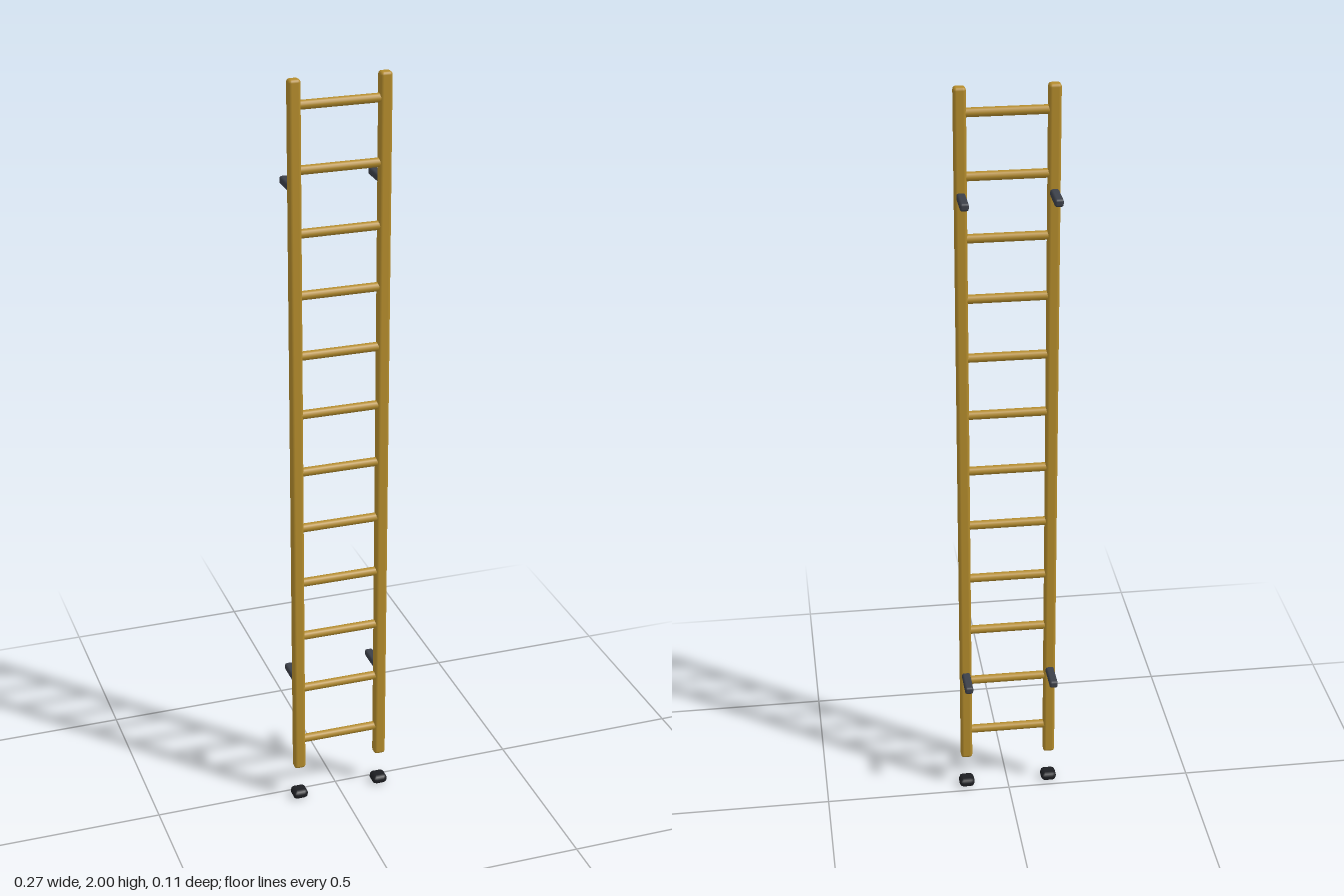
import * as THREE from 'three';
import { RoundedBoxGeometry } from 'three/addons/geometries/RoundedBoxGeometry.js';

const RAIL_X = 0.114, RAIL_Z = 0.033;

export function createModel() {
  const ladder = new THREE.Group();
  ladder.name = 'ladder';

  const yellow = new THREE.MeshStandardMaterial({ color: 0xb48c2c });
  const steel = new THREE.MeshStandardMaterial({ color: 0x3c4049 });
  const rubber = new THREE.MeshStandardMaterial({ color: 0x1d1e22 });

  const add = (name, geometry, material, x, y, z) => {
    const mesh = new THREE.Mesh(geometry, material);
    mesh.name = name;
    mesh.position.set(x, y, z);
    ladder.add(mesh);
    return mesh;
  };

  // Shared shapes with softened edges
  const railGeo = new RoundedBoxGeometry(0.031, 1.9, 0.028, 2, 0.008);
  const footGeo = new RoundedBoxGeometry(0.042, 0.025, 0.042, 1, 0.011);
  const bracketGeo = new RoundedBoxGeometry(0.022, 0.02, 0.088, 2, 0.006);

  // Side rails, wall standoffs and separate feet, mirrored
  for (const side of [1, -1]) {
    const label = side > 0 ? 'left' : 'right';
    const x = side * RAIL_X;
    add(label + 'Rail', railGeo, yellow, x, 1.05, RAIL_Z);
    add(label + 'Foot', footGeo, rubber, x, 0.0175, RAIL_Z);
    add(label + 'LowerStandoff', bracketGeo, steel, x, 0.367, -0.012);
    add(label + 'UpperStandoff', bracketGeo, steel, x, 1.73, -0.012);
  }

  // Round rungs between the rails
  const rungGeo = new THREE.CylinderGeometry(0.0115, 0.0115, RAIL_X * 2 - 0.01, 16);
  rungGeo.rotateZ(Math.PI / 2);
  for (let i = 0; i < 12; i++) {
    add('rung' + (i + 1), rungGeo, yellow, 0, 0.187 + i * 0.159, RAIL_Z);
  }

  return ladder;
}
